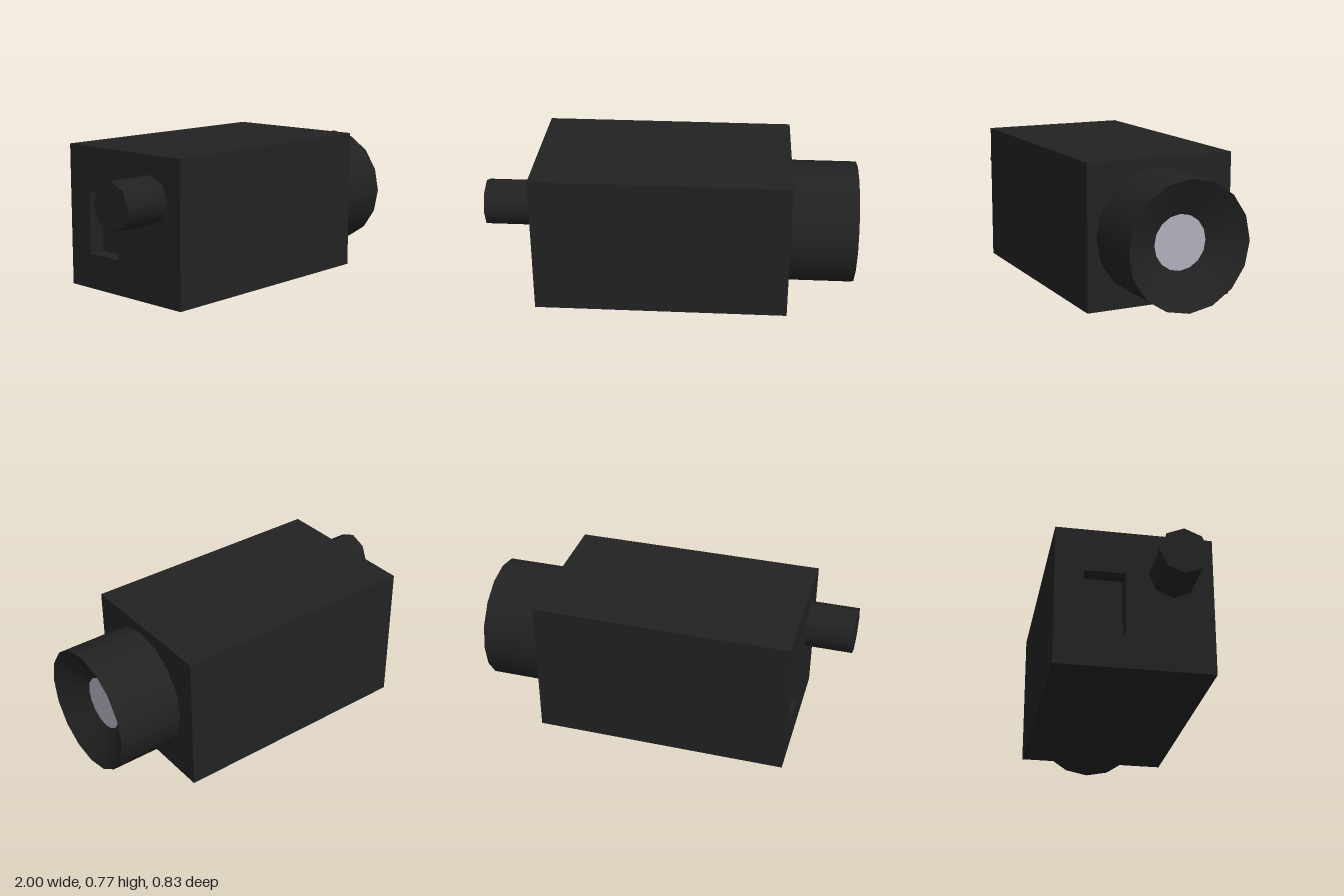
import * as THREE from 'three';

const black = { color: 0x222222 };

function part(name, geometry, color, side = THREE.FrontSide) {
  const mesh = new THREE.Mesh(geometry, new THREE.MeshStandardMaterial({ ...color, side }));
  mesh.name = name;
  return mesh;
}

// Box given by its limits, with the face towards -x left out
function openBox(x0, x1, y0, y1, z0, z1) {
  const g = new THREE.BoxGeometry(x1 - x0, y1 - y0, z1 - z0);
  const index = Array.from(g.index.array);
  index.splice(6, 6);
  g.setIndex(index);
  g.clearGroups();
  return g.translate((x0 + x1) / 2, (y0 + y1) / 2, (z0 + z1) / 2);
}

// Cylinder or cone lying along x, from x0 to x1
function tube(x0, x1, r0, r1, y, z, sides, open) {
  return new THREE.CylinderGeometry(r1, r0, x1 - x0, sides, 1, open)
    .rotateZ(-Math.PI / 2)
    .translate((x0 + x1) / 2, y, z);
}

export function createModel() {
  const model = new THREE.Group();
  model.name = 'camera';

  // Housing with a rectangular pocket in its rear end
  const housing = new THREE.Group();
  housing.name = 'housing';
  const back = -0.74, w = 0.413, h = 0.77;
  const pocket = { y0: 0.19, y1: 0.53, z0: -0.263, z1: -0.047 };
  const rect = (path, a0, b0, a1, b1) =>
    path.moveTo(a0, b0).lineTo(a1, b0).lineTo(a1, b1).lineTo(a0, b1).closePath();
  const panel = rect(new THREE.Shape(), -w, 0, w, h);
  panel.holes.push(rect(new THREE.Path(), pocket.z0, pocket.y0, pocket.z1, pocket.y1));
  housing.add(
    part('shell', openBox(back, 0.64, 0, h, -w, w), black),
    part('rearPanel', new THREE.ShapeGeometry(panel).rotateY(-Math.PI / 2).translate(back, 0, 0), black),
    part('rearPocket',
      openBox(back, back + 0.09, pocket.y0, pocket.y1, pocket.z0, pocket.z1), black, THREE.BackSide),
  );

  // Lens barrel with a conical mouth leading in to the glass
  const lens = new THREE.Group();
  lens.name = 'lens';
  const ly = 0.385, lz = 0.028, mouth = 0.895;
  lens.add(
    part('barrel', tube(0.64, 1, 0.336, 0.336, ly, lz, 16, true), black),
    part('mouth', tube(mouth, 1, 0.144, 0.336, ly, lz, 16, true), black, THREE.BackSide),
    part('glass',
      new THREE.CircleGeometry(0.144, 16).rotateY(Math.PI / 2).translate(mouth, ly, lz), { color: 0xb0b0bc }),
  );

  // Eyepiece at the rear
  const eyepiece = part('eyepiece', tube(-1, back, 0.127, 0.127, 0.54, 0.2, 8, false), black);

  model.add(housing, lens, eyepiece);
  return model;
}
